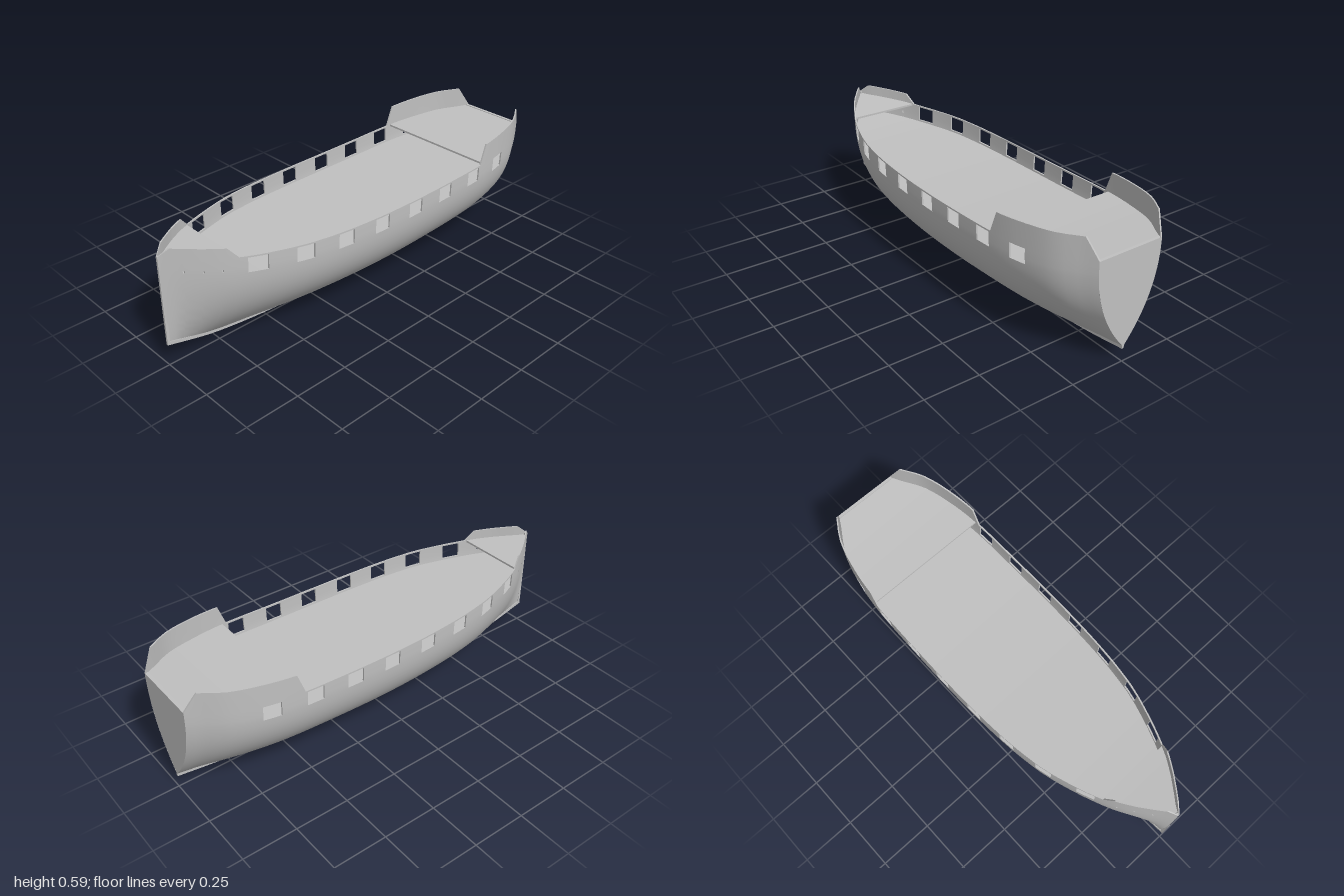
import * as THREE from 'three';
import { toCreasedNormals } from 'three/addons/utils/BufferGeometryUtils.js';

// Hull lines, each as [z, value] from stern to bow
const BEAM = [[-1, .157], [-.95, .185], [-.85, .245], [-.7, .285], [-.56, .302], [-.3, .308], [-.1, .309], [.1, .305],
  [.3, .292], [.445, .272], [.52, .255], [.635, .218], [.715, .187], [.79, .152], [.865, .105], [.925, .06], [.96, .032], [1, .004]];
const KEEL = [[-1, .06], [-.8, .032], [-.6, .016], [-.4, .008], [-.1, 0], [.1, .002], [.4, .012], [.6, .026], [.8, .052], [1, .1]];
const SHEER = [[-1, .495], [-.75, .477], [-.5, .469], [-.25, .462], [0, .46], [.25, .463], [.5, .471], [.75, .482], [1, .505]];
const RAISED = [[-1, .5], [-.95, .59], [-.75, .577], [-.58, .565], [-.545, .471], [-.54, 0], [.74, 0], [.745, .482],
  [.785, .53], [.96, .55], [1, .515]];
const FULLNESS = [[-1, 2.3], [-.5, 2.7], [0, 2.8], [.5, 2.7], [1, 2.4]];

const WALL = .007;       // plank thickness
const PORT_LOW = -.075;  // gun port sill, measured from the sheer

function linear(t, z) {
  let i = 0;
  while (i < t.length - 2 && z > t[i + 1][0]) i++;
  return THREE.MathUtils.mapLinear(z, t[i][0], t[i + 1][0], t[i][1], t[i + 1][1]);
}

// Cubic through the table with averaged slopes
function smooth(t, z) {
  let i = 0;
  while (i < t.length - 2 && z > t[i + 1][0]) i++;
  const slope = k => {
    const a = t[Math.max(k - 1, 0)], b = t[Math.min(k + 1, t.length - 1)];
    return (b[1] - a[1]) / (b[0] - a[0]);
  };
  const [z0, v0] = t[i], [z1, v1] = t[i + 1], h = z1 - z0, u = (z - z0) / h, w = 1 - u;
  return v0 * (1 + 2 * u) * w * w + slope(i) * h * u * w * w + v1 * u * u * (3 - 2 * u) - slope(i + 1) * h * u * u * w;
}

const sheer = z => smooth(SHEER, z);
const keelBottom = z => Math.max(0, smooth(KEEL, z));
const hullBottom = z => keelBottom(z) + .008;
const railTop = z => Math.max(sheer(z), linear(RAISED, z));

// Half breadth of the hull at any height
function halfBreadth(z, y) {
  const t = THREE.MathUtils.clamp((y - hullBottom(z)) / (sheer(z) - hullBottom(z)), 0, 1);
  return smooth(BEAM, z) * (1 - Math.pow(1 - t, smooth(FULLNESS, z)));
}

// Openings along each side: [z from, z to]
const ports = [.675, .483, .288, .093, -.107, -.3, -.497, -.69].map(z => [z - .039, z + .039]);
const slits = [.925, .865, .803].map(z => [z - .003, z + .003]);

// Stations: edges of openings and steps, with even ones between
const stations = [...ports.flat(), ...slits.flat(), -1, -.95, -.58, -.545, .745, .785, .96, 1];
for (let z = -.97; z < 1; z += .04) if (stations.every(s => Math.abs(s - z) > .014)) stations.push(z);
stations.sort((a, b) => a - b);

// Rows: the round of the hull, then the strakes around the openings
const LOWER = 18, STRAKES = [-.062, -.05, -.007];
const ROWS = LOWER + STRAKES.length + 1;
function rowHeight(z, j) {
  if (j <= LOWER) return THREE.MathUtils.lerp(hullBottom(z), sheer(z) + PORT_LOW, Math.pow(j / LOWER, 1.3));
  return j === ROWS ? railTop(z) : sheer(z) + STRAKES[j - LOWER - 1];
}

function isSolid(i, j) {
  if (i < 0 || j < 0 || i >= stations.length - 1 || j >= ROWS) return false;
  const z = (stations[i] + stations[i + 1]) / 2;
  const inside = list => list.some(([a, b]) => z > a && z < b);
  if (j >= LOWER && j < LOWER + 3 && inside(ports)) return false;
  return !(j === LOWER + 1 && inside(slits));
}

function finish(positions, crease) {
  const g = new THREE.BufferGeometry();
  g.setAttribute('position', new THREE.Float32BufferAttribute(positions, 3));
  return toCreasedNormals(g, crease);
}

function quad(out, a, b, c, d) {
  out.push(...a, ...b, ...c, ...a, ...c, ...d);
}

// One side of the hull; the bulwarks get an inner face and edges
function hullSide(side) {
  const out = [];
  const face = side > 0 ? (a, b, c, d) => quad(out, a, b, c, d) : (a, b, c, d) => quad(out, d, c, b, a);
  const point = (i, j, inset) => {
    const z = stations[i], y = rowHeight(z, j);
    return [side * Math.max(0, halfBreadth(z, y) - inset), y, z];
  };
  for (let i = 0; i < stations.length - 1; i++) {
    for (let j = 0; j < ROWS; j++) {
      if (!isSolid(i, j)) continue;
      const corners = [[i, j], [i, j + 1], [i + 1, j + 1], [i + 1, j]];
      const P = corners.map(([a, b]) => point(a, b, 0));
      face(...P);
      if (j < LOWER - 2) continue;
      const I = corners.map(([a, b]) => point(a, b, WALL));
      face(I[3], I[2], I[1], I[0]);
      [[i - 1, j], [i, j + 1], [i + 1, j], [i, j - 1]].forEach(([a, b], k) => {
        const n = (k + 1) % 4;
        if (!isSolid(a, b)) face(P[k], I[k], I[n], P[n]);
      });
    }
  }
  return finish(out, .5);
}

// Lofted bar or plank sheet between two z positions
function slab(from, to, half, bottom, top) {
  const out = [];
  const zs = [from, ...stations.filter(z => z > from + .004 && z < to - .004), to];
  const rings = zs.map(z => {
    const w = half(z), b = bottom(z), t = top(z);
    return [[-w, b, z], [w, b, z], [w, t, z], [-w, t, z]];
  });
  for (let i = 0; i < rings.length - 1; i++) {
    for (let k = 0; k < 4; k++) {
      const n = (k + 1) % 4;
      quad(out, rings[i][k], rings[i][n], rings[i + 1][n], rings[i + 1][k]);
    }
  }
  quad(out, ...rings[rings.length - 1]);
  quad(out, ...rings[0].slice().reverse());
  return finish(out, .5);
}

function deck(from, to, offset) {
  const top = z => sheer(z) + offset;
  const half = z => Math.max(.001, halfBreadth(z, top(z)) - WALL / 2);
  return slab(from, to, half, z => top(z) - .009, top);
}

// Flat stern plate following the last section
function transom() {
  const edge = [];
  for (let j = 0; j <= ROWS; j++) {
    const y = rowHeight(-1, j);
    edge.push(new THREE.Vector2(Math.max(0, halfBreadth(-1, y) - .001), y));
  }
  const left = edge.slice(1).reverse().map(p => new THREE.Vector2(-p.x, p.y));
  const g = new THREE.ExtrudeGeometry(new THREE.Shape([...edge, ...left]), { depth: .014, bevelEnabled: false });
  return g.translate(0, 0, -1);
}

export function createModel() {
  const model = new THREE.Group();
  model.name = 'shipHull';
  const grey = new THREE.MeshStandardMaterial({ color: 0xc0c0c0, side: THREE.DoubleSide });
  grey.name = 'hullGrey';
  const add = (name, geometry) => {
    const mesh = new THREE.Mesh(geometry, grey);
    mesh.name = name;
    model.add(mesh);
    return mesh;
  };

  add('leftHullSide', hullSide(1));
  add('rightHullSide', hullSide(-1));
  add('transom', transom());
  add('keel', slab(-1, 1, () => .005, keelBottom, z => keelBottom(z) + .016));
  add('stem', new THREE.BoxGeometry(.01, .415, .012)).position.set(0, .3075, .994);

  // Main deck runs full length; the raised decks cover its ends
  add('mainDeck', deck(-.99, .99, PORT_LOW - .008));
  add('quarterDeck', deck(-.99, -.565, .003));
  add('foreDeck', deck(.75, .985, .001));
  return model;
}
